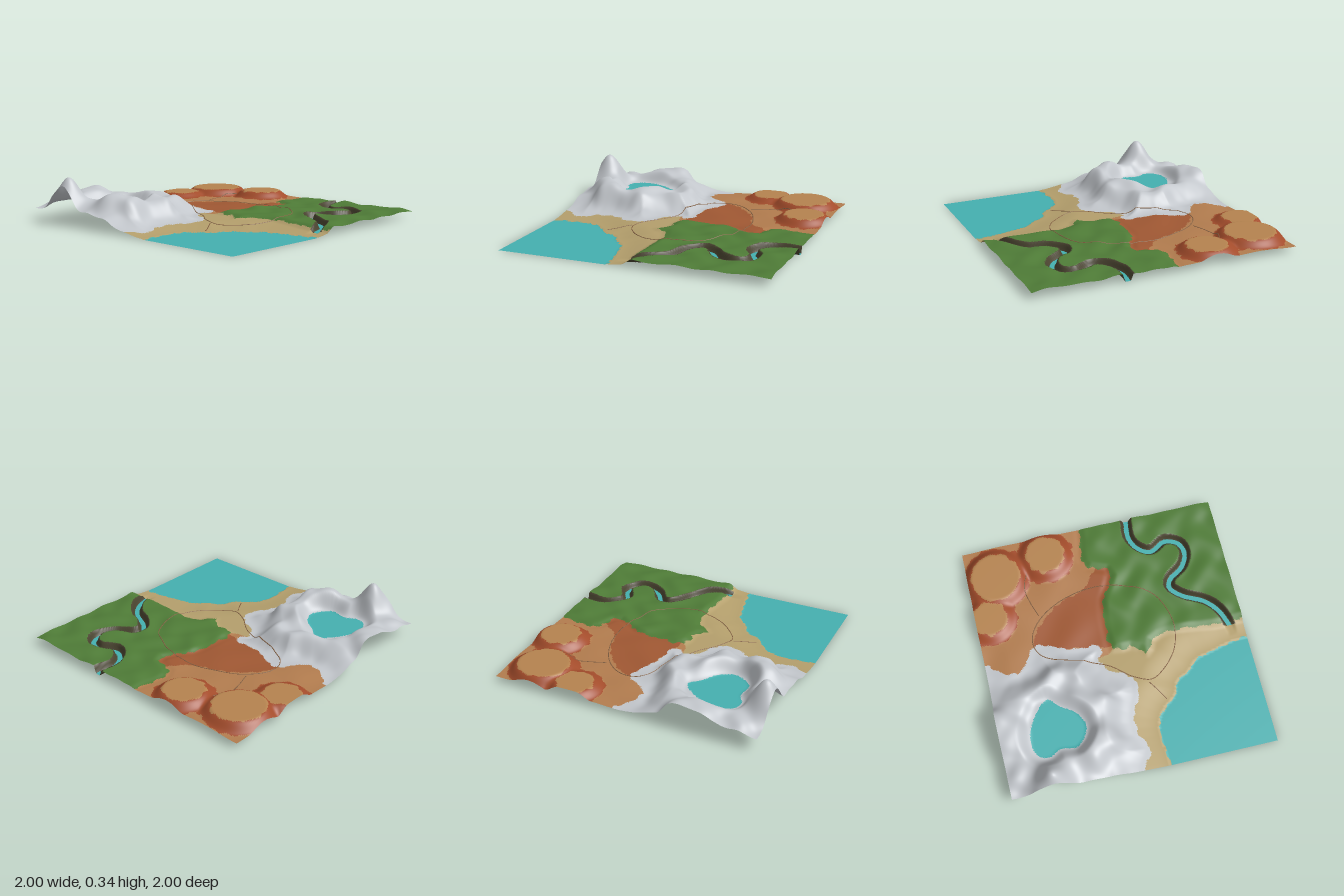
import * as THREE from 'three';

const N = 200; // terrain cells per side
const { smoothstep, lerp } = THREE.MathUtils;

// Smooth curve through [x, z] points, sampled as Vector2
const trace = (pts, closed, n) =>
  new THREE.CatmullRomCurve3(pts.map(([x, z]) => new THREE.Vector3(x, 0, z)), closed, 'centripetal')
    .getSpacedPoints(n).map(p => new THREE.Vector2(p.x, p.z));

// Distance to a sampled line
function distance(line, x, z) {
  let best = Infinity;
  for (let i = 1; i < line.length; i++) {
    const a = line[i - 1], dx = line[i].x - a.x, dz = line[i].y - a.y;
    const t = Math.min(1, Math.max(0, ((x - a.x) * dx + (z - a.y) * dz) / (dx * dx + dz * dz || 1)));
    best = Math.min(best, (x - a.x - t * dx) ** 2 + (z - a.y - t * dz) ** 2);
  }
  return Math.sqrt(best);
}

function inside(line, x, z) {
  let hit = false;
  for (let i = 1; i < line.length; i++) {
    const a = line[i - 1], b = line[i];
    if ((a.y > z) !== (b.y > z) && x < a.x + (z - a.y) / (b.y - a.y) * (b.x - a.x)) hit = !hit;
  }
  return hit;
}
// Positive inside an outline, negative outside
const depth = (line, x, z) => distance(line, x, z) * (inside(line, x, z) ? 1 : -1);

// Region outlines as [x, z]
const outline = pts => trace(pts, true, 80);
const sea = outline([[-1.3, 0.18], [-1, 0.18], [-0.7, 0.17], [-0.58, 0.23], [-0.48, 0.35], [-0.38, 0.39],
  [-0.33, 0.49], [-0.25, 0.57], [-0.21, 0.72], [-0.17, 0.87], [-0.17, 1.05], [-0.3, 1.4], [-1.3, 1.4]]);
const lake = outline([[-0.74, -0.74], [-0.66, -0.78], [-0.55, -0.77], [-0.43, -0.71], [-0.33, -0.6], [-0.4, -0.52],
  [-0.49, -0.4], [-0.6, -0.36], [-0.73, -0.45], [-0.72, -0.58], [-0.76, -0.67]]);
const mountain = outline([[-1.4, 0], [-1, -0.02], [-0.85, 0.07], [-0.7, 0], [-0.55, 0.02], [-0.38, 0.09],
  [-0.28, 0.06], [-0.2, -0.08], [-0.1, -0.15], [0.01, -0.1], [0.04, -0.35], [0.13, -0.6], [-0.05, -0.74],
  [-0.05, -0.87], [0.06, -1], [0, -1.4], [-1.4, -1.4]]);
const forest = outline([[-0.04, -0.03], [0.15, -0.04], [0.35, -0.02], [0.6, 0.1], [0.69, -0.08], [1, -0.05],
  [1.3, 0], [1.3, 1.3], [0, 1.3], [-0.01, 1], [-0.02, 0.8], [0.01, 0.45], [-0.03, 0.28], [-0.14, 0.23], [-0.05, 0.14]]);
const canyon = outline([[-0.1, -1.3], [-0.1, -0.5], [-0.02, 0], [0.35, 0.05], [0.6, 0.14], [1.3, 0.05], [1.3, -1.3]]);
const clay = outline([[0.08, -0.6], [0.2, -0.59], [0.32, -0.48], [0.44, -0.32], [0.5, -0.12], [0.66, 0],
  [0.6, 0.12], [0.35, 0.05], [0, 0.05], [0.04, -0.3]]);

// Watercourse from the east edge to the sea
const riverPts = [[1, 0.32], [0.85, 0.31], [0.75, 0.36], [0.7, 0.45], [0.76, 0.58], [0.72, 0.68], [0.63, 0.71],
  [0.52, 0.66], [0.43, 0.54], [0.37, 0.52], [0.28, 0.6], [0.2, 0.75], [0.1, 0.84], [-0.03, 0.89]];
const channel = trace([[1.1, 0.33], ...riverPts, [-0.2, 0.91], [-0.36, 1.01]], false, 140);

// Flat-topped hills: x, z, top radius, height
const mesas = [[0.73, -0.78, 0.18, 0.1], [0.41, -0.89, 0.125, 0.085], [0.83, -0.37, 0.14, 0.1]];

// Mountain control heights: x, z, height
const peaks = [[-1, -1, 0.09], [-0.75, -1, 0.12], [-0.45, -0.97, 0.2], [-0.2, -1, 0.07], [-0.05, -0.95, 0.05],
  [-0.85, -0.87, 0.15], [-0.62, -0.9, 0.19], [-0.3, -0.85, 0.15], [-0.17, -0.75, 0.17], [-0.94, -0.68, 0.18],
  [-0.85, -0.52, 0.17], [-0.98, -0.4, 0.1], [-0.95, -0.25, 0.1], [-0.85, -0.37, 0.25], [-0.72, -0.23, 0.23],
  [-0.58, -0.22, 0.17], [-0.5, -0.25, 0.2], [-0.4, -0.36, 0.2], [-0.3, -0.25, 0.14], [-0.27, -0.45, 0.14],
  [-0.17, -0.35, 0.17], [-0.17, -0.57, 0.19], [-0.05, -0.6, 0.06], [-0.9, -0.1, 0.08], [-0.6, -0.08, 0.1],
  [-0.3, -0.08, 0.09], [-0.55, -0.57, 0.09], [-0.65, -0.7, 0.1], [-0.45, -0.65, 0.1], [-0.6, -0.45, 0.1]];

const ripple = (x, z, f) => (Math.sin(f * x + 1.7 * Math.sin(f * 0.6 * z)) + Math.sin(f * 1.1 * z + 1.3 * Math.sin(f * 0.7 * x + 2))) / 2;

function mountainHeight(x, z) {
  let sum = 0, total = 1e-9;
  for (const [px, pz, h] of peaks) {
    const w = Math.exp(-((x - px) ** 2 + (z - pz) ** 2) / 0.009);
    sum += w * h;
    total += w;
  }
  const summit = 0.165 * Math.exp(-((x + 0.94) ** 2 + (z + 0.68) ** 2) / 0.009);
  return sum / total + summit + 0.009 * ripple(x, z, 28);
}

function height(x, z) {
  const shore = -depth(sea, x, z);
  if (shore <= 0) return 0;
  // sand, then forest and canyon ground
  let h = 0.004 + 0.032 * smoothstep(shore, 0, 0.28);
  h = lerp(h, 0.056 + 0.009 * ripple(x, z, 22), smoothstep(depth(forest, x, z), -0.04, 0.05));
  const east = smoothstep(depth(canyon, x, z), -0.02, 0.1) * (1 - smoothstep(depth(forest, x, z), -0.06, 0.03));
  h = lerp(h, 0.046 + 0.005 * ripple(x, z, 14) - 0.012 * smoothstep(-z, 0.8, 1), east);
  for (const [mx, mz, r, top] of mesas)
    h = Math.max(h, lerp(h, top, 1 - smoothstep(Math.hypot(x - mx, z - mz), r, r + 0.09)));
  // mountain mass and its level lake
  const m = depth(mountain, x, z);
  if (m > 0) {
    h = lerp(h, mountainHeight(x, z), smoothstep(m, 0.03, 0.24));
    h = lerp(0.1, h, smoothstep(-depth(lake, x, z), -0.02, 0.1));
  }
  return lerp(Math.min(h, 0.006), h, smoothstep(distance(channel, x, z), 0.018, 0.042));
}

const colors = { water: 0x45b0b0, riverBank: 0x4a4430, mountains: 0xc2c6cb, mesaCliffs: 0xa34c2b,
  mesaTops: 0xb5834f, clayGround: 0xa05833, canyonGround: 0xb27c4e, forest: 0x4f7c37, sand: 0xb49f6c };

function region(x, z) {
  // slightly ragged borders
  const u = x + 0.012 * ripple(z, x, 55), v = z + 0.012 * ripple(x, z, 60);
  if (inside(sea, u, v) || inside(lake, x, z)) return 'water';
  const d = distance(channel, x, z);
  if (x > -0.04 && d < 0.046) return d < 0.017 ? 'water' : 'riverBank';
  if (inside(mountain, u, v)) return 'mountains';
  const rim = Math.min(...mesas.map(([mx, mz, r]) => Math.hypot(u - mx, v - mz) - r));
  if (rim < 0.012) return 'mesaTops';
  if (rim < 0.085) return 'mesaCliffs';
  if (inside(forest, u, v)) return 'forest';
  if (inside(clay, u, v)) return 'clayGround';
  return inside(canyon, u, v) ? 'canyonGround' : 'sand';
}

const makeMesh = (name, geometry, color) => {
  const mesh = new THREE.Mesh(geometry, new THREE.MeshStandardMaterial({ color, side: THREE.DoubleSide }));
  mesh.name = name;
  return mesh;
};

// One continuous surface, split by ground type with shared normals
function buildTerrain() {
  const land = new THREE.PlaneGeometry(2, 2, N, N).rotateX(-Math.PI / 2);
  const p = land.attributes.position;
  for (let i = 0; i < p.count; i++) p.setY(i, Math.max(0, height(p.getX(i), p.getZ(i))));
  land.computeVertexNormals();
  const faces = {}, idx = land.index.array;
  for (let i = 0; i < idx.length; i += 3) {
    const [a, b, c] = idx.slice(i, i + 3);
    const name = region((p.getX(a) + p.getX(b) + p.getX(c)) / 3, (p.getZ(a) + p.getZ(b) + p.getZ(c)) / 3);
    (faces[name] ??= []).push(a, b, c);
  }
  const group = new THREE.Group();
  group.name = 'terrain';
  for (const name in faces) {
    land.setIndex(faces[name]);
    group.add(makeMesh(name, land.toNonIndexed(), colors[name]));
  }
  return group;
}

// Thin track draped over the ground
function buildTrack(name, pts, closed) {
  const line = trace(pts, closed, closed ? 140 : 24);
  if (closed) line.pop();
  const curve = new THREE.CatmullRomCurve3(line.map(q => new THREE.Vector3(q.x, height(q.x, q.y), q.y)), closed);
  return makeMesh(name, new THREE.TubeGeometry(curve, line.length * 2, 0.0035, 6, closed), 0x8a6546);
}

// Flat ribbon of water in the channel
function buildRiver() {
  const line = trace(riverPts, false, 150), pos = [], index = [];
  line.forEach((q, i) => {
    const a = line[Math.max(0, i - 1)], b = line[Math.min(line.length - 1, i + 1)];
    const t = b.clone().sub(a).normalize().multiplyScalar(0.017);
    for (const s of [1, -1]) pos.push(Math.min(1, q.x - s * t.y), 0.01, q.y + s * t.x);
    if (i) index.push(2 * i - 2, 2 * i - 1, 2 * i, 2 * i - 1, 2 * i + 1, 2 * i);
  });
  const g = new THREE.BufferGeometry();
  g.setAttribute('position', new THREE.Float32BufferAttribute(pos, 3));
  // the path runs east to west, so reverse the order to face up
  g.setIndex(index.reverse());
  g.computeVertexNormals();
  return makeMesh('river', g, colors.water);
}

export function createModel() {
  const model = new THREE.Group();
  model.name = 'landscape';
  model.add(buildTerrain(), buildRiver());
  model.add(buildTrack('loopTrack', [[0.14, -0.61], [0.25, -0.58], [0.38, -0.45], [0.48, -0.2], [0.49, 0],
    [0.44, 0.2], [0.33, 0.38], [0.15, 0.46], [0, 0.47], [-0.15, 0.42], [-0.28, 0.3], [-0.33, 0.2],
    [-0.28, 0.07], [-0.16, -0.08], [-0.09, -0.25], [-0.03, -0.45], [0.04, -0.57]], true));
  model.add(buildTrack('beachTrack', [[-0.35, 0.18], [-0.42, 0.23], [-0.5, 0.28]], false));
  model.add(buildTrack('mesaTrack', [[0.36, -0.52], [0.48, -0.56], [0.6, -0.58], [0.72, -0.54]], false));
  return model;
}
